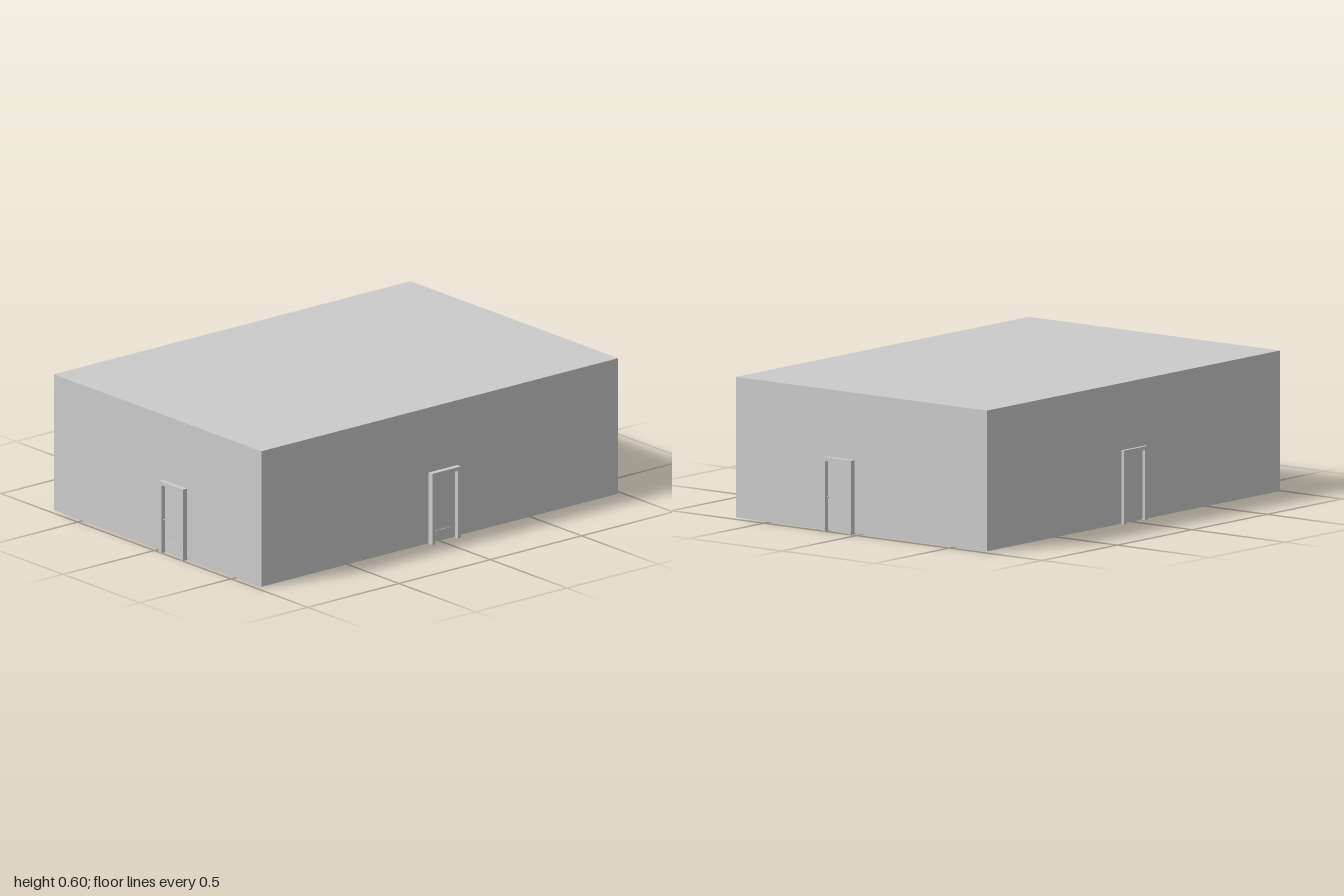
import * as THREE from 'three';

const material = new THREE.MeshStandardMaterial({ color: 0xcccccc, flatShading: true });

function box(name, w, h, d, x, y, z) {
  const mesh = new THREE.Mesh(new THREE.BoxGeometry(w, h, d), material);
  mesh.name = name;
  mesh.position.set(x, y, z);
  return mesh;
}

// Door facing +z, standing on y = 0; the outer face of its frame lies at z = 0.
function createDoor(name) {
  const W = 0.156, H = 0.315, D = 0.037, T = 0.016;
  const door = new THREE.Group();
  door.name = name;
  for (const side of [-1, 1]) {
    door.add(box('doorJamb', T, H, D, side * (W - T) / 2, H / 2, -D / 2));
  }
  door.add(box('doorLintel', W - 2 * T, T, D, 0, H - T / 2, -D / 2));

  // recessed leaf with a slot plate near the bottom
  door.add(box('doorLeaf', W - 2 * T, H - T - 0.004, 0.014, 0, (H - T + 0.004) / 2, -0.026));
  door.add(box('doorSlot', 0.08, 0.005, 0.004, 0, 0.051, -0.018));

  // knob on a short stem, at the left of someone facing the door
  const stem = new THREE.Mesh(new THREE.CylinderGeometry(0.002, 0.002, 0.008, 8), material);
  stem.name = 'knobStem';
  stem.rotation.x = Math.PI / 2;
  stem.position.set(-0.056, 0.146, -0.016);
  const knob = new THREE.Mesh(new THREE.SphereGeometry(0.004, 10, 8), material);
  knob.name = 'doorKnob';
  knob.position.set(-0.056, 0.146, -0.011);
  door.add(stem, knob);
  return door;
}

export function createModel() {
  const model = new THREE.Group();
  model.name = 'building';

  // plain block, lifted a hair above the ground
  model.add(box('buildingBlock', 1.355, 0.598, 1.953, -0.007, 0.302, 0));

  // one door per wall: name, x, z, turn about y
  const doors = [
    ['frontDoor', 0.108, 1, 0],
    ['backDoor', 0.108, -1, Math.PI],
    ['leftDoor', 0.695, -0.017, Math.PI / 2],
    ['rightDoor', -0.699, -0.003, -Math.PI / 2],
  ];
  for (const [name, x, z, turn] of doors) {
    const door = createDoor(name);
    door.position.set(x, 0, z);
    door.rotation.y = turn;
    model.add(door);
  }
  return model;
}
